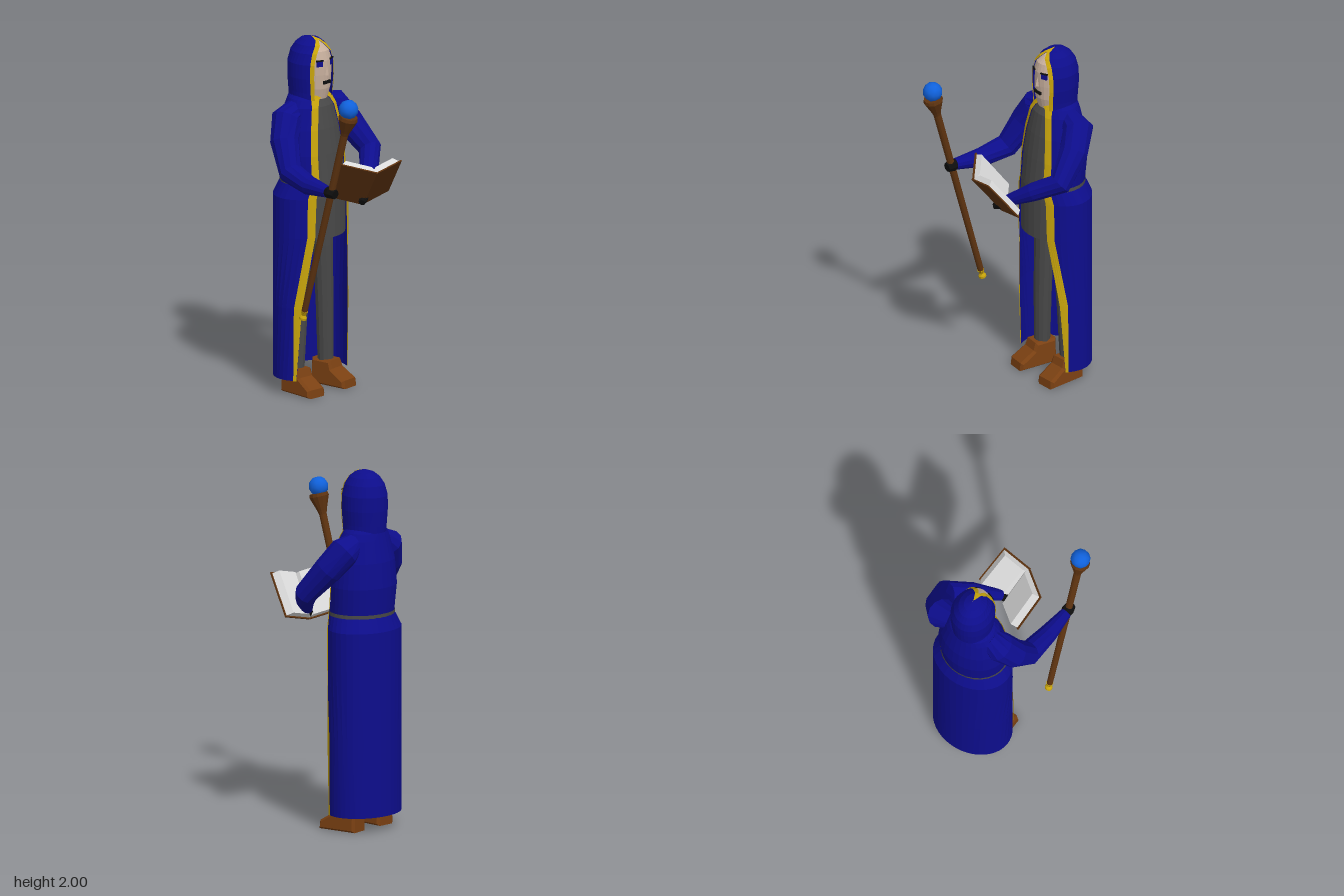
import * as THREE from 'three';

const mat = (name, color, double) => {
  const m = new THREE.MeshStandardMaterial({ color });
  m.name = name;
  if (double) m.side = THREE.DoubleSide;
  return m;
};
const V = (p) => new THREE.Vector3(...p);
const CX = 0.02; // body axis

// Faceted surface through rings of points, listed bottom to top
function loft(rings) {
  const pos = [];
  const put = (...pts) => pts.forEach((p) => pos.push(p.x, p.y, p.z));
  for (let i = 0; i < rings.length - 1; i++) {
    for (let j = 0; j < rings[i].length - 1; j++) {
      const a = rings[i][j], b = rings[i][j + 1], c = rings[i + 1][j + 1], d = rings[i + 1][j];
      put(a, b, c, a, c, d);
    }
  }
  const g = new THREE.BufferGeometry();
  g.setAttribute('position', new THREE.Float32BufferAttribute(pos, 3));
  g.computeVertexNormals();
  return g;
}

// Elliptic shell; a row is [y, rx, rz, centreZ, openingDeg, trimDeg], angle 0 faces front
function shell(rows, from, to, grow = 0, segs = 28) {
  return loft(rows.map((r) => {
    const [y, rx, rz, cz] = r;
    const ring = [];
    for (let j = 0; j <= segs; j++) {
      const a = THREE.MathUtils.degToRad(THREE.MathUtils.lerp(from(r), to(r), j / segs));
      ring.push(V([CX + (rx + grow) * Math.sin(a), y, cz + (rz + grow) * Math.cos(a)]));
    }
    return ring;
  }));
}
const closed = (rows, grow) => shell(rows, () => 0, () => 360, grow);
const open = (rows) => shell(rows, (r) => r[4], (r) => 360 - r[4]);

// Capped tapering limb through points [x, y, z, radius]
function limb(pts, segs = 12) {
  const c = pts.map(V);
  const rings = [];
  pts.forEach((p, i) => {
    const t = c[Math.min(i + 1, c.length - 1)].clone().sub(c[Math.max(i - 1, 0)]).normalize();
    const n = new THREE.Vector3(1, 0, 0).addScaledVector(t, -t.x).normalize();
    const b = t.clone().cross(n);
    const ring = (r) => Array.from({ length: segs + 1 }, (_, j) => {
      const a = (j / segs) * Math.PI * 2;
      return c[i].clone().addScaledVector(n, r * Math.cos(a)).addScaledVector(b, r * Math.sin(a));
    });
    if (i === 0) rings.push(ring(0));
    rings.push(ring(p[3]));
    if (i === pts.length - 1) rings.push(ring(0));
  });
  return loft(rings);
}

export function createModel() {
  const root = new THREE.Group();
  const cloth = mat('robe blue', 0x0d0d8c, true);
  const gold = mat('gold trim', 0xc9a50c, true);
  const grey = mat('tunic grey', 0x484848, true);
  const skin = mat('skin', 0xc6ae9c);
  const boot = mat('boot brown', 0x7a4012);
  const wood = mat('dark brown', 0x5e3310);
  const black = mat('glove black', 0x0e0e0e);
  const paper = mat('paper', 0xdadada);
  const crystal = mat('crystal blue', 0x1062dd);

  const add = (name, geo, material, parent = root) => {
    let g = geo;
    if (g.index) { g = g.toNonIndexed(); g.computeVertexNormals(); }
    const m = new THREE.Mesh(g, material);
    m.name = name;
    parent.add(m);
    return m;
  };

  // Robe skirt, bodice and hood, each open at the front
  const skirt = [
    [0.09, 0.23, 0.18, -0.23, 62, 67], [0.5, 0.23, 0.18, -0.23, 53, 66], [0.9, 0.23, 0.18, -0.23, 33, 45],
    [1.12, 0.23, 0.18, -0.23, 31, 44], [1.2, 0.192, 0.168, -0.21, 32, 45],
  ];
  const bodice = [
    [1.2, 0.19, 0.166, -0.21, 32, 45], [1.36, 0.2, 0.165, -0.225, 30, 42], [1.5, 0.185, 0.15, -0.23, 27, 40],
    [1.62, 0.155, 0.125, -0.23, 23, 38], [1.66, 0.13, 0.112, -0.235, 18, 38], [1.69, 0.1, 0.1, -0.235, 0, 28],
  ];
  const hood = [
    [1.66, 0.112, 0.122, -0.23, 38, 48], [1.7, 0.113, 0.125, -0.23, 39, 49], [1.78, 0.12, 0.13, -0.23, 40, 50],
    [1.86, 0.118, 0.13, -0.23, 40, 50], [1.92, 0.1, 0.115, -0.23, 32, 46], [1.96, 0.075, 0.088, -0.23, 14, 34],
    [1.985, 0.045, 0.056, -0.23, 0, 22], [2.0, 0.001, 0.001, -0.23, 0, 0],
  ];
  for (const [name, rows] of [['robeSkirt', skirt], ['robeBodice', bodice], ['hood', hood]]) {
    add(name, open(rows), cloth);
    add(name + 'TrimLeft', shell(rows, (r) => r[4], (r) => r[5], 0.004, 4), gold);
    add(name + 'TrimRight', shell(rows, (r) => -r[5], (r) => -r[4], 0.004, 4), gold);
  }

  // Tunic and belt
  add('tunic', closed([
    [0.89, 0.19, 0.165, -0.21], [1.12, 0.198, 0.17, -0.217], [1.2, 0.184, 0.161, -0.21],
    [1.36, 0.193, 0.158, -0.225], [1.5, 0.178, 0.143, -0.23], [1.62, 0.148, 0.118, -0.23], [1.66, 0.1, 0.1, -0.235],
  ]), grey);
  add('belt', closed([[1.195, 0.196, 0.17, -0.21], [1.215, 0.194, 0.17, -0.211]]), grey);

  // Face
  add('face', closed([
    [1.66, 0.08, 0.1, -0.225], [1.72, 0.094, 0.115, -0.225], [1.8, 0.1, 0.12, -0.225], [1.88, 0.1, 0.12, -0.225],
    [1.93, 0.085, 0.106, -0.225], [1.965, 0.05, 0.065, -0.225], [1.98, 0.001, 0.001, -0.225],
  ]), skin);
  const nose = add('nose', new THREE.ConeGeometry(0.013, 0.06, 4), skin);
  nose.position.set(CX, 1.825, -0.106);
  for (const s of [-1, 1]) {
    const eye = new THREE.Group();
    eye.name = s > 0 ? 'leftEye' : 'rightEye';
    eye.position.set(CX + s * 0.046, 1.865, -0.117);
    eye.rotation.y = s * 0.42;
    root.add(eye);
    add('iris', new THREE.BoxGeometry(0.036, 0.03, 0.008), cloth, eye);
    add('brow', new THREE.BoxGeometry(0.044, 0.007, 0.009), black, eye).position.y = 0.018;
  }
  add('mouth', new THREE.BoxGeometry(0.055, 0.018, 0.009), black).position.set(CX, 1.757, -0.107);

  // Legs and boots
  const bootShape = new THREE.Shape([
    [-0.275, 0.012], [-0.067, 0.012], [-0.07, 0.04], [-0.155, 0.092], [-0.168, 0.13], [-0.275, 0.13],
  ].map(([x, y]) => new THREE.Vector2(x, y + 0)));
  for (const s of [-1, 1]) {
    const side = s > 0 ? 'left' : 'right';
    add(side + 'Leg', limb([
      [CX + s * 0.118, 0.1, -0.225, 0.044], [CX + s * 0.105, 0.45, -0.22, 0.05],
      [CX + s * 0.085, 0.8, -0.215, 0.056], [CX + s * 0.08, 0.98, -0.215, 0.058],
    ]), grey);
    const g = new THREE.ExtrudeGeometry(bootShape, {
      depth: 0.09, bevelEnabled: true, bevelSize: 0.012, bevelThickness: 0.016, bevelSegments: 1,
    });
    g.translate(0.225, 0, -0.045).rotateY(-Math.PI / 2);
    const p = g.attributes.position;
    for (let i = 0; i < p.count; i++) p.setX(i, p.getX(i) * (1.06 - p.getY(i) * 1.2)); // narrower ankle
    g.computeVertexNormals();
    const b = add(side + 'Boot', g, boot);
    b.position.set(CX + s * 0.12, 0, -0.225);
    b.rotation.y = s * 0.08;
  }

  // Sleeves and hands
  add('rightSleeve', limb([
    [-0.09, 1.6, -0.24, 0.06], [-0.16, 1.56, -0.24, 0.085], [-0.22, 1.45, -0.2, 0.08],
    [-0.265, 1.3, -0.11, 0.067], [-0.29, 1.265, 0.05, 0.053], [-0.312, 1.265, 0.205, 0.032],
  ]), cloth);
  add('leftSleeve', limb([
    [0.13, 1.6, -0.24, 0.06], [0.21, 1.57, -0.24, 0.085], [0.265, 1.47, -0.17, 0.08],
    [0.305, 1.33, -0.05, 0.064], [0.19, 1.26, 0.05, 0.052], [0.06, 1.175, 0.14, 0.03],
  ]), cloth);
  add('rightHand', limb([[-0.312, 1.265, 0.18, 0.026], [-0.312, 1.265, 0.225, 0.035], [-0.312, 1.26, 0.262, 0.026]], 8), black);
  add('leftHand', limb([[0.08, 1.185, 0.125, 0.024], [0.03, 1.145, 0.155, 0.028], [0.0, 1.13, 0.172, 0.018]], 8), black);

  // Staff, leaning forward at the top
  const staff = new THREE.Group();
  staff.name = 'staff';
  staff.position.set(-0.312, 0.505, 0.02);
  staff.rotation.x = Math.atan2(0.34, 1.22);
  root.add(staff);
  const lathe = (pts) => new THREE.LatheGeometry(pts.map(([r, y]) => new THREE.Vector2(r, y)), 12);
  add('shaft', lathe([[0, 0.04], [0.017, 0.04], [0.021, 1.15], [0.026, 1.17], [0.055, 1.25], [0.05, 1.268], [0, 1.268]]), wood, staff);
  add('tip', lathe([[0, 0], [0.021, 0], [0.021, 0.012], [0.012, 0.025], [0.02, 0.05], [0, 0.05]]), gold, staff);
  add('orb', new THREE.IcosahedronGeometry(0.055, 1), crystal).position.set(-0.312, 1.765, 0.36);

  // Open book: two halves hinged on a tilted spine
  const spineTop = V([-0.02, 1.33, 0.305]), spineBottom = V([0.03, 1.11, 0.145]);
  const spine = spineTop.clone().sub(spineBottom);
  const book = new THREE.Group();
  book.name = 'book';
  root.add(book);
  for (const [name, dir, flip] of [['rightHalf', [-0.15, 0.055, -0.13], 1], ['leftHalf', [0.18, 0.04, 0.02], -1]]) {
    const u = V(dir), w = u.length();
    u.normalize();
    const n = u.clone().cross(spine).multiplyScalar(flip).normalize();
    const half = new THREE.Group();
    half.name = name;
    half.quaternion.setFromRotationMatrix(new THREE.Matrix4().makeBasis(u, n, u.clone().cross(n)));
    half.position.copy(spineTop).add(spineBottom).multiplyScalar(0.5);
    book.add(half);
    const L = spine.length();
    add('cover', new THREE.BoxGeometry(w, 0.008, L), wood, half).position.set(w / 2, 0, 0);
    const block = new THREE.Shape([[0, 0.004], [w - 0.008, 0.004], [w - 0.03, 0.04], [0.03, 0.04], [0, 0.018]]
      .map(([x, y]) => new THREE.Vector2(x, y)));
    const pages = new THREE.ExtrudeGeometry(block, { depth: L - 0.016, bevelEnabled: false });
    add('pages', pages.translate(0, 0, -(L - 0.016) / 2), paper, half);
  }
  return root;
}
